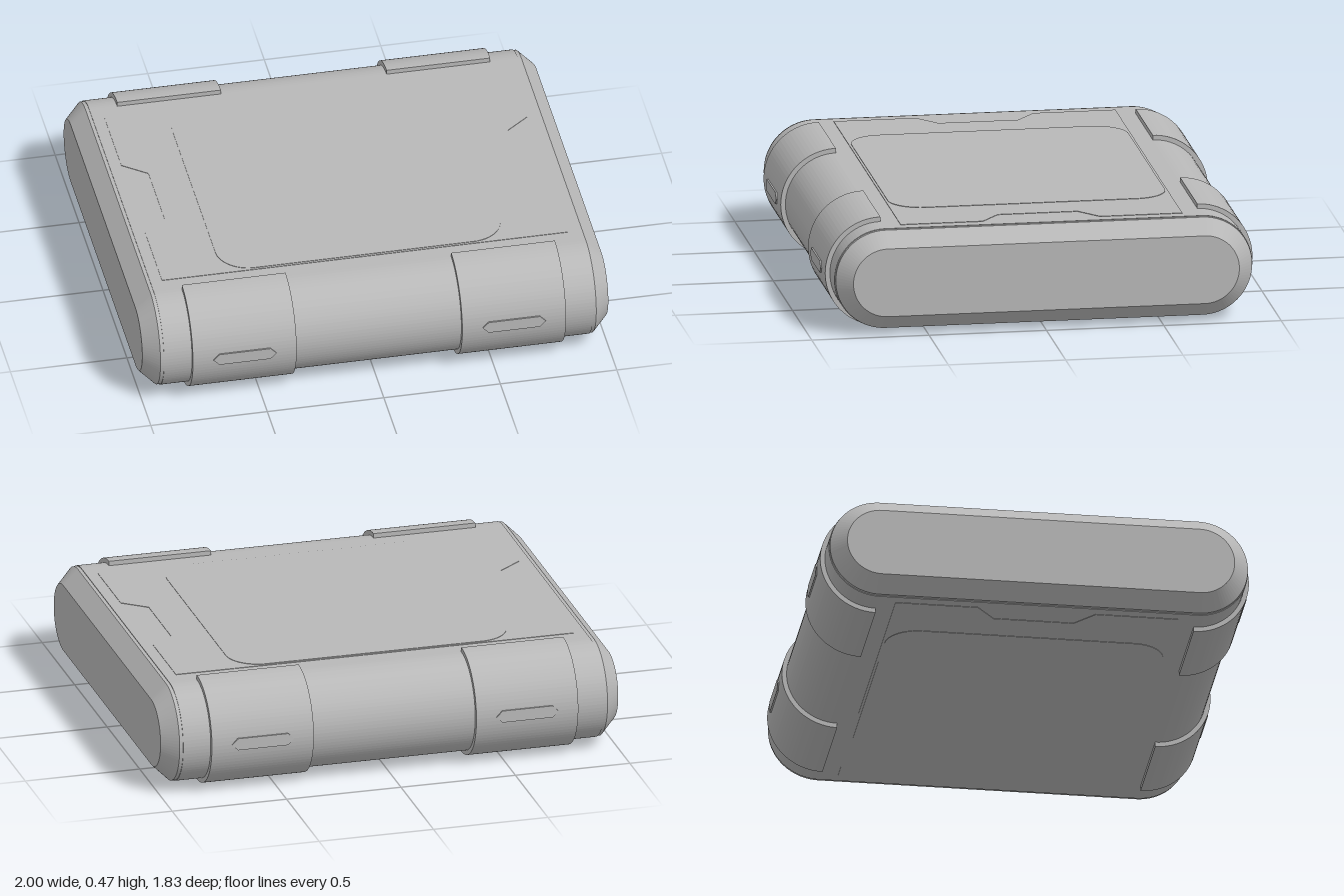
import * as THREE from 'three';

const CY = 0.235;      // height of the centre line
const HALF = 0.675;    // half length of the flat part along z
const R = 0.215;       // radius of the rounded long sides

// Stadium outline, long axis horizontal
function stadium(r) {
  const s = new THREE.Shape();
  s.absarc(HALF, 0, r, -Math.PI / 2, Math.PI / 2, false);
  s.absarc(-HALF, 0, r, Math.PI / 2, Math.PI * 1.5, false);
  s.closePath();
  return s;
}

// Extrudes an outline in (z, y) along x, centred on x = 0
function extrudeX(shape, width, options = {}) {
  const g = new THREE.ExtrudeGeometry(shape, {
    depth: width, bevelEnabled: false, curveSegments: 22, ...options,
  });
  g.translate(0, 0, -width / 2);
  g.rotateY(-Math.PI / 2); // outline x becomes +z
  return g;
}

// Rounded rectangle in (x, z)
function roundedRect(w, d, r) {
  const s = new THREE.Shape();
  s.absarc(w - r, d - r, r, 0, Math.PI / 2, false);
  s.absarc(-w + r, d - r, r, Math.PI / 2, Math.PI, false);
  s.absarc(-w + r, -d + r, r, Math.PI, Math.PI * 1.5, false);
  s.absarc(w - r, -d + r, r, Math.PI * 1.5, Math.PI * 2, false);
  s.closePath();
  return s;
}

export function createModel() {
  const model = new THREE.Group();
  const grey = new THREE.MeshStandardMaterial({ color: 0xb8b8b8, flatShading: true });
  grey.name = 'casing grey';

  const add = (name, geometry, parent = model) => {
    const mesh = new THREE.Mesh(geometry, grey);
    mesh.name = name;
    parent.add(mesh);
    return mesh;
  };

  // Core with chamfered ends, and the slightly larger shell around it
  add('chamferedBody', extrudeX(stadium(0.147), 1.87, {
    bevelEnabled: true, bevelThickness: 0.065, bevelSize: 0.065, bevelSegments: 1,
  })).position.y = CY;
  add('outerShell', extrudeX(stadium(R), 1.84)).position.y = CY;

  // Half-round clamp section
  const clamp = new THREE.Shape();
  clamp.absarc(HALF, 0, 0.235, -Math.PI / 2, Math.PI / 2, false);
  clamp.absarc(HALF, 0, R - 0.003, Math.PI / 2, -Math.PI / 2, true);
  clamp.closePath();

  // Small tab with pointed ends on the clamp face
  const tab = new THREE.Shape([
    [-0.135, 0], [-0.11, 0.026], [0.11, 0.026],
    [0.135, 0], [0.11, -0.026], [-0.11, -0.026],
  ].map(([x, y]) => new THREE.Vector2(x, y)));

  for (const end of [1, -1]) {
    for (const side of [1, -1]) {
      const group = new THREE.Group();
      group.name = `${end > 0 ? 'front' : 'back'}${side > 0 ? 'Left' : 'Right'}Clamp`;
      group.position.set(side * 0.578, CY, 0);
      group.rotation.y = end > 0 ? 0 : Math.PI;
      add('clampBand', extrudeX(clamp, 0.445), group);
      const tabGeometry = new THREE.ExtrudeGeometry(tab, { depth: 0.02, bevelEnabled: false });
      add('clampTab', tabGeometry, group).position.z = 0.895;
      model.add(group);
    }
  }

  // Thin cover plates, notched at the sides, with a rounded inner panel
  const cover = new THREE.Shape([
    [0.87, 0.6], [0.87, 0.25], [0.77, 0.17], [0.77, -0.17], [0.87, -0.25], [0.87, -0.6],
    [-0.87, -0.6], [-0.87, -0.25], [-0.77, -0.17], [-0.77, 0.17], [-0.87, 0.25], [-0.87, 0.6],
  ].map(([x, z]) => new THREE.Vector2(x, z)));
  const inner = roundedRect(0.61, 0.59, 0.14);

  for (const up of [1, -1]) {
    const group = new THREE.Group();
    group.name = up > 0 ? 'topCover' : 'bottomCover';
    group.position.y = CY + up * R;
    group.rotation.x = -up * Math.PI / 2;
    add('coverPlate', new THREE.ExtrudeGeometry(cover, { depth: 0.002, bevelEnabled: false }), group);
    add('innerPanel', new THREE.ExtrudeGeometry(inner, { depth: 0.004, bevelEnabled: false }), group);
    model.add(group);
  }

  return model;
}
